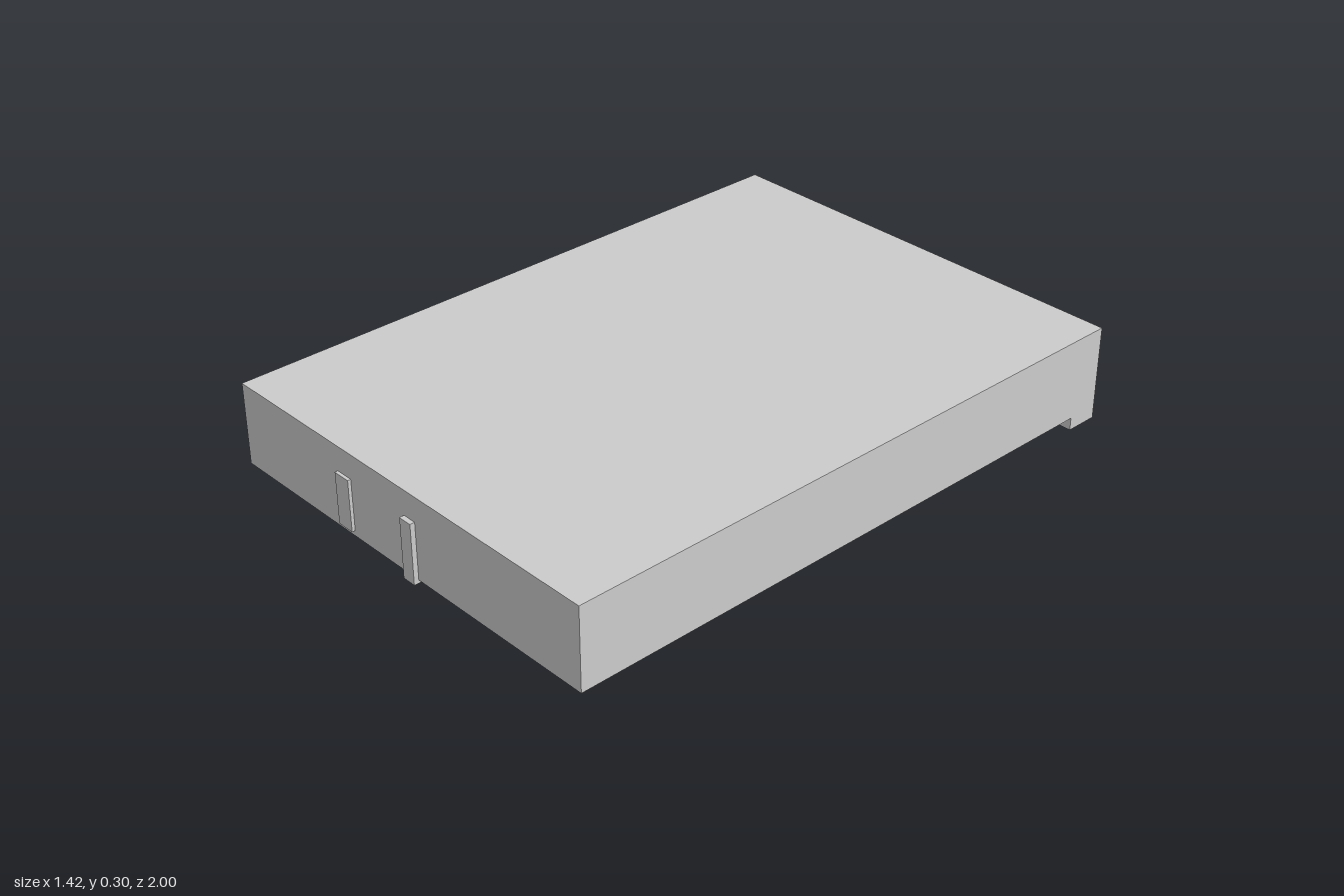
import * as THREE from 'three';

const material = new THREE.MeshStandardMaterial({ color: 0xcccccc });

// Bookcase lying on its front: the open side faces down, the foot is at -z.
const HALF_W = 0.71, TOP_Z = 0.985, FOOT_Z = -1;
const FACE_Y = 0.04, BACK_Y = 0.22, TOP_Y = 0.3;
const SIDE = 0.085;

// Compartments along z: shelf the books stand on, underside above, book heights
const rows = [
  { from: -0.845, to: -0.575, min: 0.25, max: 0.32, reach: 0.028 },
  { from: -0.49, to: -0.17, min: 0.24, max: 0.325, reach: 0.018 },
  { from: -0.08, to: 0.24, min: 0.22, max: 0.305, reach: 0.018 },
  { from: 0.33, to: 0.64, min: 0.24, max: 0.33, reach: 0.02 },
  { from: 0.73, to: 0.89, min: 0.14, max: 0.21, reach: 0.013 },
];

function seeded(seed) {
  return () => {
    seed = (seed * 16807) % 2147483647;
    return seed / 2147483647;
  };
}

// Box given by its limits on each axis
function box(name, x0, x1, y0, y1, z0, z1) {
  const mesh = new THREE.Mesh(new THREE.BoxGeometry(x1 - x0, y1 - y0, z1 - z0), material);
  mesh.position.set((x0 + x1) / 2, (y0 + y1) / 2, (z0 + z1) / 2);
  mesh.name = name;
  return mesh;
}

function rectangle(path, x0, x1, y0, y1) {
  path.moveTo(x0, y0);
  path.lineTo(x1, y0);
  path.lineTo(x1, y1);
  path.lineTo(x0, y1);
  path.closePath();
  return path;
}

// Sides and shelves in one piece, with a hole for each compartment
function createFrame() {
  const shape = rectangle(new THREE.Shape(), -HALF_W, HALF_W, FOOT_Z, TOP_Z);
  for (const row of rows) {
    shape.holes.push(rectangle(new THREE.Path(), -HALF_W + SIDE, HALF_W - SIDE, row.from, row.to));
  }
  const geometry = new THREE.ExtrudeGeometry(shape, { depth: BACK_Y - FACE_Y, bevelEnabled: false });
  geometry.rotateX(Math.PI / 2);
  const frame = new THREE.Mesh(geometry, material);
  frame.position.y = BACK_Y;
  frame.name = 'frameWithShelves';
  return frame;
}

// A row of upright books with a few gaps
function createBooks(row, index) {
  const books = new THREE.Group();
  books.name = 'bookRow';
  const random = seeded(7919 * (index + 3));
  for (let i = 0; i < 5; i++) random();
  let x = -0.57 + random() * 0.04;
  while (x < 0.52) {
    const width = 0.03 + random() * 0.045;
    const height = row.min + random() * (row.max - row.min);
    const front = FACE_Y + 0.022 - random() * (0.022 + row.reach);
    books.add(box('book', x, x + width, front, BACK_Y, row.from, row.from + height));
    x += width + (random() < 0.22 ? 0.04 + random() * 0.06 : 0.004);
  }
  return books;
}

export function createModel() {
  const model = new THREE.Group();
  model.name = 'bookcase';
  model.add(createFrame());
  model.add(box('backPanel', -HALF_W, HALF_W, BACK_Y, TOP_Y, FOOT_Z, TOP_Z));
  model.add(box('plinth', -HALF_W, HALF_W, 0, FACE_Y, FOOT_Z, -0.895));
  rows.forEach((row, i) => model.add(createBooks(row, i)));
  // Two tall books that reach through the end panel
  model.add(box('tallBook', -0.27, -0.212, 0.057, BACK_Y, 0.73, 0.995));
  model.add(box('tallBook', 0.02, 0.065, 0.03, BACK_Y, 0.73, 1));
  return model;
}
